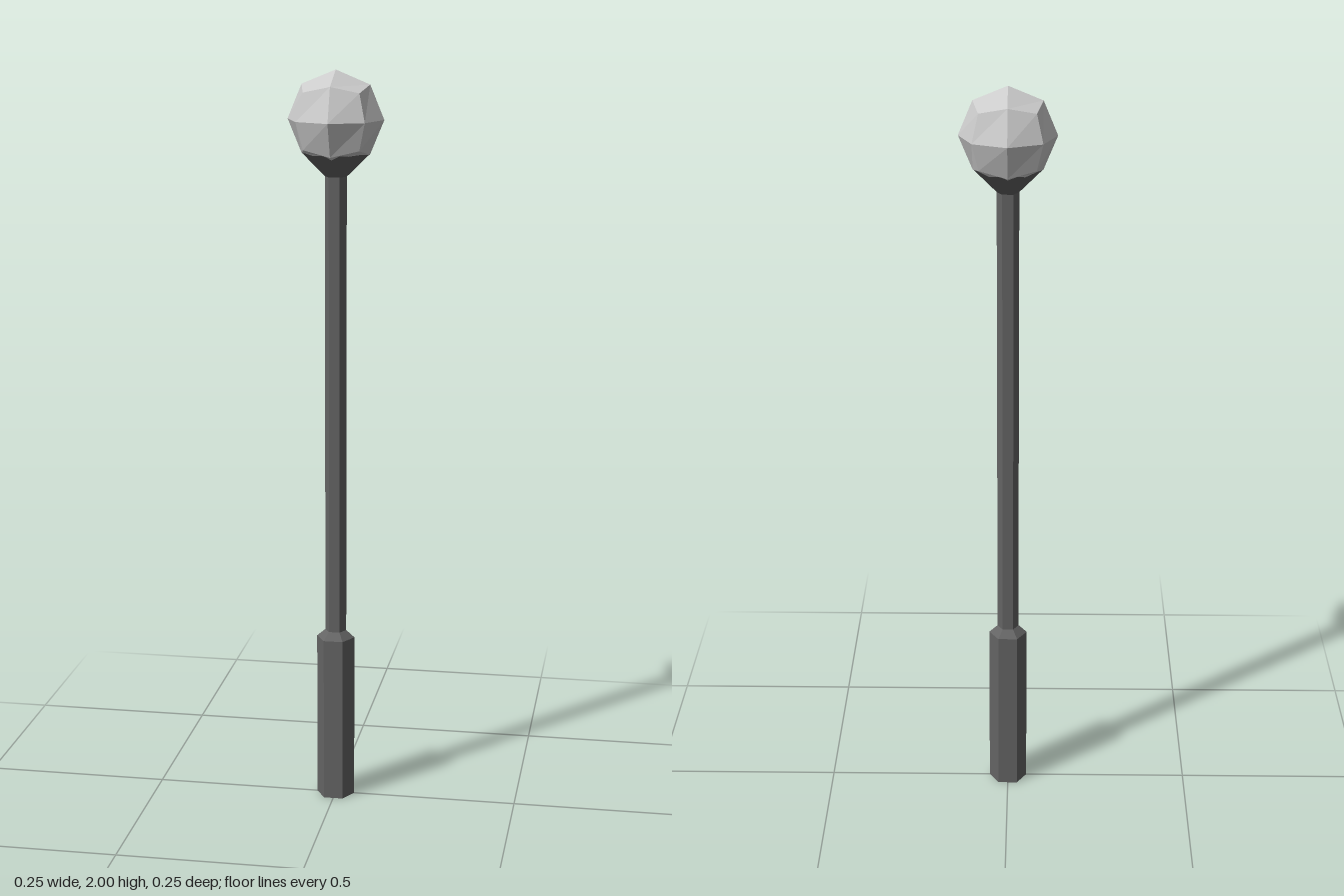
import * as THREE from 'three';

const darkMetal = new THREE.MeshStandardMaterial({ color: 0x646464, flatShading: true });
const paleGlass = new THREE.MeshStandardMaterial({ color: 0xcccccc, flatShading: true });

function faceted(name, geometry, material) {
  const flat = geometry.toNonIndexed();
  flat.computeVertexNormals();
  const mesh = new THREE.Mesh(flat, material);
  mesh.name = name;
  return mesh;
}

// Six-sided turned part with corners on the x axis; profile runs from bottom to top
function hexTurned(name, profile) {
  const points = profile.map(([r, y]) => new THREE.Vector2(r, y));
  return faceted(name, new THREE.LatheGeometry(points, 6, Math.PI / 2), darkMetal);
}

// Box with 2 x 2 faces per side, pushed out to a sphere
function globe(radius, y) {
  const geometry = new THREE.BoxGeometry(1, 1, 1, 2, 2, 2);
  const pos = geometry.attributes.position;
  const v = new THREE.Vector3();
  for (let i = 0; i < pos.count; i++) {
    v.fromBufferAttribute(pos, i).setLength(radius);
    pos.setXYZ(i, v.x, v.y + y, v.z);
  }
  return faceted('globe', geometry, paleGlass);
}

export function createModel() {
  const lamp = new THREE.Group();
  lamp.name = 'streetLamp';
  lamp.add(
    // Thick foot with a bevelled shoulder
    hexTurned('base', [[0, 0], [0.052, 0], [0.052, 0.46], [0.029, 0.48]]),
    hexTurned('pole', [[0.029, 0.48], [0.029, 1.725]]),
    // Flared cup holding the globe
    hexTurned('collar', [[0.029, 1.725], [0.091, 1.786], [0, 1.79]]),
    globe(0.127, 1.873),
  );
  return lamp;
}
